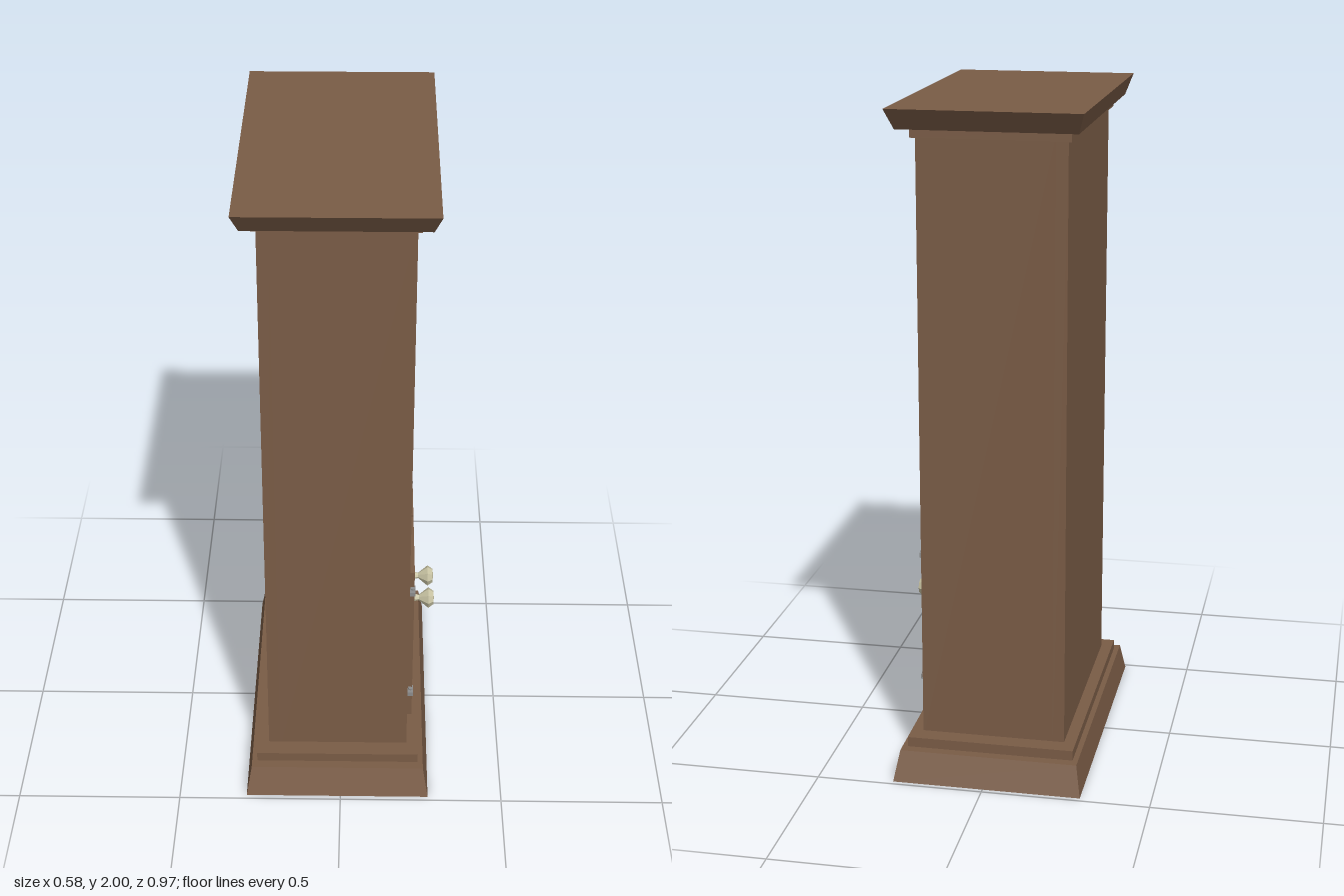
import * as THREE from 'three';

const WOOD = 0x7a5c46, BLUE = 0x42558c, RED = 0x74303f, GREEN = 0x2a6b3a, BROWN = 0x5d3f2c;
const CREAM = 0xdcc8a0, BRASS = 0xc9c4a4, STEEL = 0x8c8c8c;

const mat = (color) => new THREE.MeshStandardMaterial({ color, flatShading: true });

function add(parent, name, geometry, color) {
  const mesh = new THREE.Mesh(geometry, mat(color));
  mesh.name = name;
  parent.add(mesh);
  return mesh;
}

// Box given by its limits on each axis
function box(parent, name, [x0, x1], [y0, y1], [z0, z1], color = WOOD) {
  const mesh = add(parent, name, new THREE.BoxGeometry(x1 - x0, y1 - y0, z1 - z0), color);
  mesh.position.set((x0 + x1) / 2, (y0 + y1) / 2, (z0 + z1) / 2);
  return mesh;
}

// Box whose top is larger or smaller than its bottom by a margin on every side
function flaredBox(parent, name, x, y, z, margin) {
  const mesh = box(parent, name, x, y, z);
  const p = mesh.geometry.attributes.position;
  for (let i = 0; i < p.count; i++) {
    if (p.getY(i) < 0) continue;
    p.setX(i, p.getX(i) + Math.sign(p.getX(i)) * margin[0]);
    p.setZ(i, p.getZ(i) + Math.sign(p.getZ(i)) * margin[1]);
  }
  mesh.geometry.computeVertexNormals();
  return mesh;
}

// Flat outline in (z, y), extruded along x from x0 to x1
function extrudeX(shape, x0, x1) {
  const g = new THREE.ExtrudeGeometry(shape, { depth: x1 - x0, bevelEnabled: false });
  return g.rotateY(Math.PI / 2).translate(x0, 0, 0);
}

function rectangle(path, halfWidth, y0, y1) {
  path.moveTo(-halfWidth, y0);
  path.lineTo(halfWidth, y0);
  path.lineTo(halfWidth, y1);
  path.lineTo(-halfWidth, y1);
  path.closePath();
  return path;
}

// Book standing on a shelf, with two pale bands round its spine
function book(parent, z, y, color, lean = 0) {
  const w = 0.056, h = 0.245;
  const group = new THREE.Group();
  group.name = 'book';
  box(group, 'bookCover', [-0.14, 0.03], [0, h], [-w / 2, w / 2], color);
  for (const by of [0.033, 0.213]) {
    box(group, 'bookBand', [-0.12, 0.032], [by - 0.006, by + 0.006], [-w / 2 - 0.0005, w / 2 + 0.0005], CREAM);
  }
  group.position.set(0, y + Math.abs(Math.sin(lean)) * w / 2, z);
  group.rotation.x = lean;
  parent.add(group);
}

function bar(parent, name, a, b, thickness, color) {
  const from = new THREE.Vector3(...a), to = new THREE.Vector3(...b);
  const dir = to.clone().sub(from);
  const mesh = add(parent, name, new THREE.BoxGeometry(thickness, dir.length(), thickness), color);
  mesh.position.copy(from).add(to).multiplyScalar(0.5);
  mesh.quaternion.setFromUnitVectors(new THREE.Vector3(0, 1, 0), dir.normalize());
}

// Small easel: two splayed front feet and two rear props
function stand(parent, z, y) {
  const group = new THREE.Group();
  group.name = 'displayStand';
  for (const s of [-1, 1]) {
    bar(group, 'standFoot', [0.11, 0.005, s * 0.07], [0.06, 0.06, s * 0.022], 0.012, STEEL);
    bar(group, 'standHook', [0.11, 0.005, s * 0.035], [0.075, 0.055, s * 0.03], 0.01, STEEL);
    bar(group, 'standProp', [-0.05, 0.005, s * 0.07], [0.06, 0.06, s * 0.022], 0.012, STEEL);
  }
  group.position.set(0, y, z);
  parent.add(group);
}

export function createModel() {
  const model = new THREE.Group();
  model.name = 'bookcase';

  // Carcass with an open upper compartment, closed by a back panel
  const outline = rectangle(new THREE.Shape(), 0.37, 0.1, 1.93);
  outline.holes.push(rectangle(new THREE.Path(), 0.305, 0.775, 1.84));
  add(model, 'carcass', extrudeX(outline, -0.19, 0.205), WOOD);
  box(model, 'backPanel', [-0.225, -0.19], [0.1, 1.93], [-0.37, 0.37]);

  // Plinth and cornice
  flaredBox(model, 'plinth', [-0.292, 0.272], [0, 0.09], [-0.485, 0.485], [-0.016, -0.03]);
  box(model, 'plinthStep', [-0.26, 0.24], [0.09, 0.12], [-0.425, 0.425]);
  box(model, 'corniceStep', [-0.237, 0.217], [1.91, 1.94], [-0.39, 0.39]);
  flaredBox(model, 'cornice', [-0.265, 0.245], [1.94, 2], [-0.445, 0.445], [0.02, 0.042]);

  // Shelves
  for (const top of [1.13, 1.53]) {
    box(model, 'shelf', [-0.19, 0.19], [top - 0.052, top], [-0.305, 0.305]);
  }

  // Doors with hinges and knobs
  const knobProfile = [[0, 0], [0.014, 0], [0.009, 0.022], [0.033, 0.052], [0.022, 0.068], [0, 0.07]]
    .map(([r, h]) => new THREE.Vector2(r, h));
  for (const s of [-1, 1]) {
    const zs = [s * 0.296, s * 0.006].sort((a, b) => a - b).map((z) => z - 0.004);
    box(model, 'door', [0.2, 0.221], [0.17, 0.725], zs);
    const knob = add(model, 'knob', new THREE.LatheGeometry(knobProfile, 8), BRASS);
    knob.rotation.z = -Math.PI / 2;
    knob.position.set(0.22, 0.458, s * 0.058 + 0.006);
    for (const y of [0.27, 0.66]) {
      box(model, 'hingeLeaf', [0.2, 0.224], [y - 0.007, y + 0.007], [s * 0.296 - 0.018, s * 0.296 + 0.018], STEEL);
      const pin = add(model, 'hingePin', new THREE.CylinderGeometry(0.008, 0.008, 0.024, 6), STEEL);
      pin.position.set(0.216, y, s * 0.298 - 0.002);
    }
  }

  // Upper shelf books
  [BLUE, BLUE, RED].forEach((c, i) => book(model, 0.276 - i * 0.059, 1.53, c));
  book(model, 0.028, 1.53, GREEN, 0.31);

  // Middle shelf books
  [GREEN, BROWN, BROWN, RED, BLUE, BLUE, RED, GREEN, GREEN]
    .forEach((c, i) => book(model, 0.276 - i * 0.0587, 1.13, c));
  book(model, -0.27, 1.13, BROWN, 0.08);

  // Lower shelf books
  book(model, -0.048, 0.775, RED, -0.25);
  [GREEN, BLUE, BROWN].forEach((c, i) => book(model, -0.163 - i * 0.057, 0.775, c));

  // Round plate leaning back on its stand
  const plateProfile = [[0, -0.008], [0.06, -0.008], [0.113, 0.008], [0.11, 0.013], [0.06, 0], [0, 0]]
    .map(([r, h]) => new THREE.Vector2(r, h));
  const plate = add(model, 'plate', new THREE.LatheGeometry(plateProfile, 20).rotateZ(-Math.PI / 2), 0xdcc2a2);
  plate.position.set(0.035, 1.676, -0.18);
  plate.rotation.z = 0.5;
  stand(model, -0.18, 1.53);

  // Fan-shaped shell leaning back on its stand
  const fan = new THREE.Shape([
    [-0.012, 0], [0.012, 0], [0.15, 0.18], [0.115, 0.225], [0.06, 0.262], [0, 0.276],
    [-0.06, 0.262], [-0.115, 0.225], [-0.15, 0.18],
  ].map(([x, y]) => new THREE.Vector2(x, y)));
  const shell = add(model, 'shell', extrudeX(fan, -0.008, 0.008), 0xdc8580);
  shell.position.set(0.09, 0.803, 0.155);
  shell.rotation.z = 0.5;
  stand(model, 0.155, 0.775);

  return model;
}
